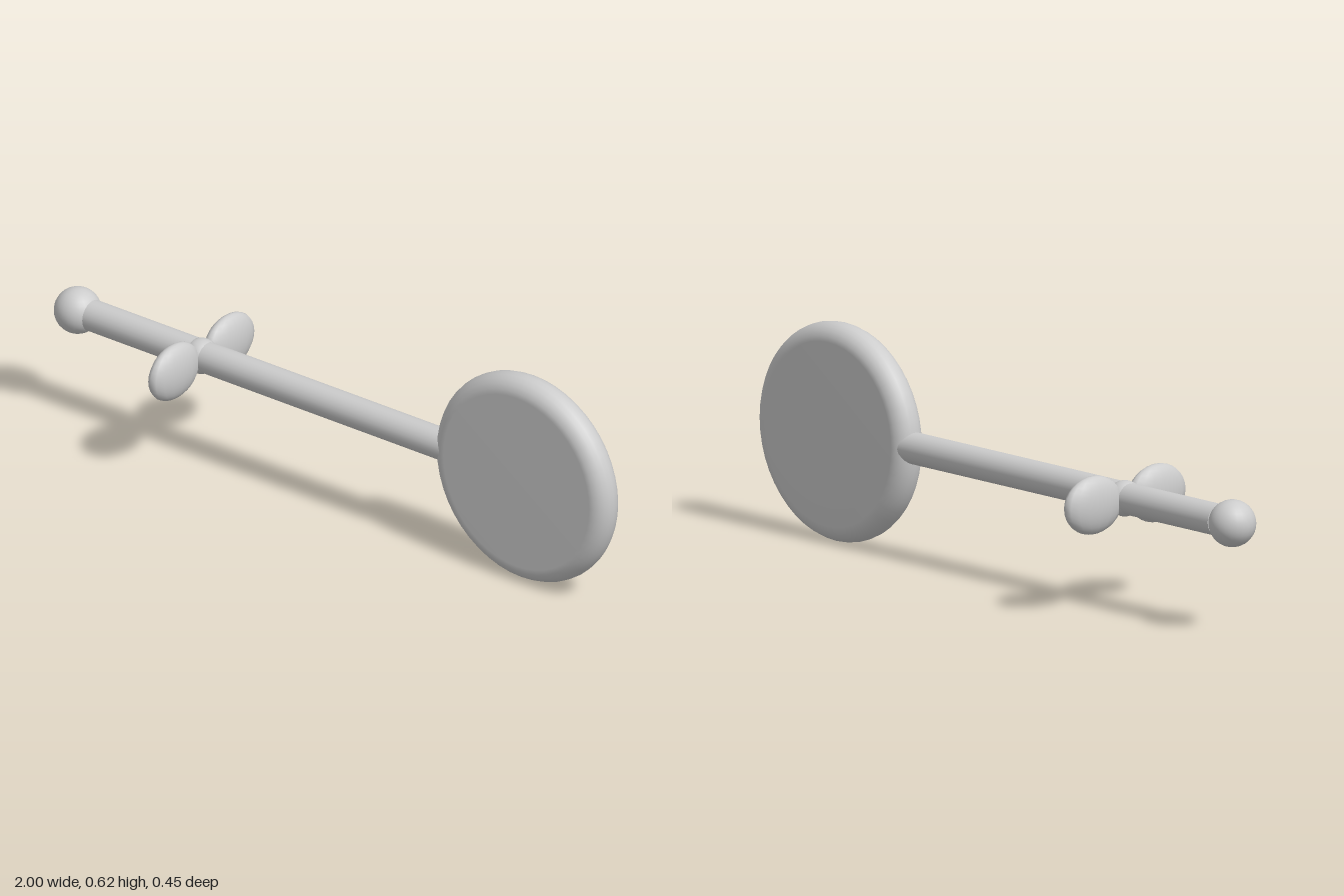
import * as THREE from 'three';

export function createModel() {
  const group = new THREE.Group();
  const grey = new THREE.MeshStandardMaterial({ color: 0xcccccc });
  grey.name = 'plain grey';
  const midY = 0.316;

  function add(name, geometry, x, y = midY, z = 0) {
    const mesh = new THREE.Mesh(geometry, grey);
    mesh.name = name;
    mesh.position.set(x, y, z);
    group.add(mesh);
    return mesh;
  }

  // Round head: flat faces with a half-round rim, turned about the z axis
  const half = 0.05, inner = 0.262;
  const profile = [new THREE.Vector2(0, -half)];
  for (let i = 0; i <= 10; i++) {
    const a = -Math.PI / 2 + (i / 10) * Math.PI;
    profile.push(new THREE.Vector2(inner + half * Math.cos(a), half * Math.sin(a)));
  }
  profile.push(new THREE.Vector2(0, half));
  add('head', new THREE.LatheGeometry(profile, 48).rotateX(Math.PI / 2), 0.687);

  // Straight handle running into the head
  const start = -0.88, end = 0.46;
  add('handle', new THREE.CylinderGeometry(0.045, 0.045, end - start, 24).rotateZ(Math.PI / 2),
    (start + end) / 2, 0.318);

  // Ball at the tip of the handle
  add('endBall', new THREE.SphereGeometry(0.067, 24, 16), -0.933, 0.318);

  // Crossguard: a small hub with an oval lobe on each side
  const guardX = -0.488;
  add('guardHub', new THREE.SphereGeometry(0.051, 20, 14), guardX, 0.317);
  for (const side of [-1, 1]) {
    const lobe = new THREE.SphereGeometry(1, 16, 16).scale(0.037, 0.083, 0.104);
    add(side > 0 ? 'frontLobe' : 'backLobe', lobe, guardX, 0.315, side * 0.12);
  }

  return group;
}
